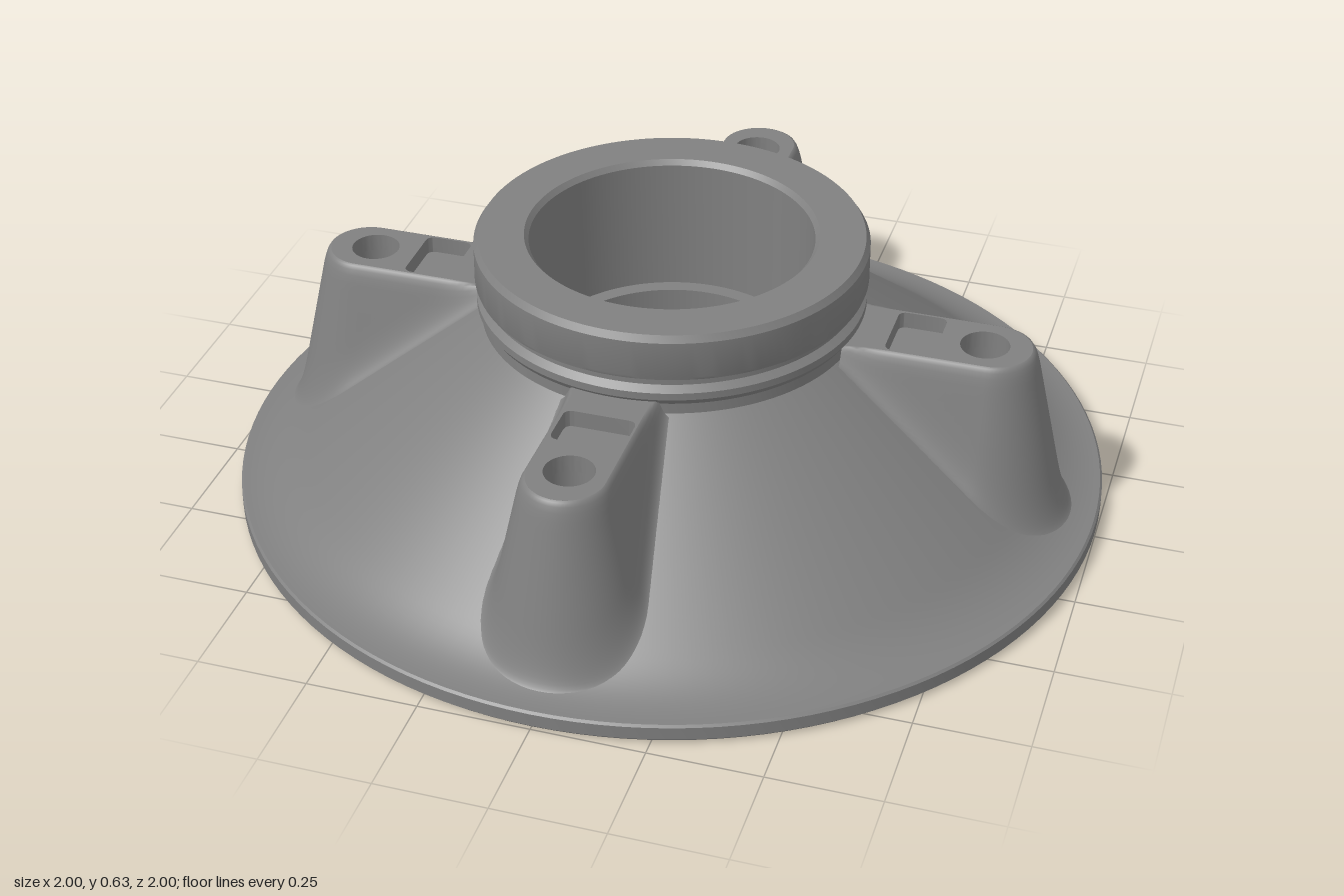
import * as THREE from 'three';
import { toCreasedNormals } from 'three/addons/utils/BufferGeometryUtils.js';

const HOLE_AT = 0.72, HOLE_R = 0.055;   // bolt holes
const TOP = 0.463, HALF = 0.085, END = 0.74, START = 0.42; // boss top outline
const POCKET_DEPTH = 0.04;

const smoothMax = (a, b, k) => {
  const h = Math.max(k - Math.abs(a - b), 0) / k;
  return Math.max(a, b) + h * h * k / 4;
};
// Height of the conical flange at radius r
const coneHeight = r => smoothMax(0.43 - 0.785 * (r - 0.43), 0.045, 0.06);

function circlePath(x, y, r) {
  return new THREE.Path().absarc(x, y, r, 0, Math.PI * 2, true);
}

// Turned body: rim, cone, neck, collar and stepped bore, opened up under the bosses
function bodyGeometry() {
  const pts = [[0.99, 0], [1, 0.01], [1, 0.04]];
  for (let i = 0; i <= 40; i++) {
    const r = 0.995 - (0.995 - 0.43) * i / 40;
    pts.push([r, coneHeight(r)]);
  }
  pts.push(
    [0.43, 0.455], [0.44, 0.47], [0.44, 0.487], [0.425, 0.5], [0.425, 0.515], [0.44, 0.522],
    [0.443, 0.53], [0.443, 0.615], [0.433, 0.63], [0.33, 0.63], [0.32, 0.618],
    [0.32, 0.3], [0.285, 0.3], [0.285, 0]);
  const geo = new THREE.LatheGeometry(pts.map(p => new THREE.Vector2(...p)), 128);
  const pos = geo.attributes.position, index = geo.index.array, kept = [];
  const nearHole = i => {
    const x = Math.abs(pos.getX(i)), z = Math.abs(pos.getZ(i));
    return Math.hypot(Math.max(x, z) - HOLE_AT, Math.min(x, z)) < 0.085;
  };
  for (let i = 0; i < index.length; i += 3) {
    const tri = [index[i], index[i + 1], index[i + 2]];
    if (!tri.some(nearHole)) kept.push(...tri);
  }
  geo.setIndex(kept);
  return toCreasedNormals(geo, 0.4);
}

// Flat underside with the bore and four bolt holes
function undersideGeometry() {
  const shape = new THREE.Shape().absarc(0, 0, 0.99, 0, Math.PI * 2, false);
  shape.holes.push(circlePath(0, 0, 0.285));
  for (let i = 0; i < 4; i++) {
    const a = i * Math.PI / 2;
    shape.holes.push(circlePath(HOLE_AT * Math.cos(a), HOLE_AT * Math.sin(a), HOLE_R));
  }
  return new THREE.ShapeGeometry(shape, 64).rotateX(Math.PI / 2);
}

// Rounded rectangle for the locating pocket
function pocketShape() {
  const x0 = 0.51, x1 = 0.62, w = 0.08, c = 0.02;
  const s = new THREE.Shape();
  s.moveTo(x0 + c, -w).lineTo(x1 - c, -w).quadraticCurveTo(x1, -w, x1, -w + c);
  s.lineTo(x1, w - c).quadraticCurveTo(x1, w, x1 - c, w);
  s.lineTo(x0 + c, w).quadraticCurveTo(x0, w, x0, w - c);
  s.lineTo(x0, -w + c).quadraticCurveTo(x0, -w, x0 + c, -w);
  return s;
}

// Flat boss top, thick enough to form the pocket walls
function bossTopGeometry(withPocket) {
  const s = new THREE.Shape();
  s.moveTo(START, -HALF).lineTo(END, -HALF);
  s.absarc(END, 0, HALF, -Math.PI / 2, Math.PI / 2, false);
  s.lineTo(START, HALF).lineTo(START, -HALF);
  s.holes.push(circlePath(HOLE_AT, 0, HOLE_R));
  if (withPocket) s.holes.push(pocketShape());
  const geo = new THREE.ExtrudeGeometry(s, { depth: POCKET_DEPTH, bevelEnabled: false, curveSegments: 32 });
  geo.rotateX(-Math.PI / 2).translate(0, TOP - POCKET_DEPTH, 0);
  return toCreasedNormals(geo, 0.5);
}

// Drafted boss wall: rings offset from the top outline, blended into the cone
function bossWallGeometry() {
  const outline = [], straight = 20, arc = 32, rings = 28, reach = 0.135;
  for (let i = 0; i < straight; i++) outline.push([START + (END - START) * i / straight, HALF, 0, 1]);
  for (let i = 0; i <= arc; i++) {
    const a = Math.PI / 2 - Math.PI * i / arc, c = Math.cos(a), s = Math.sin(a);
    outline.push([END + HALF * c, HALF * s, c, s]);
  }
  for (let i = straight - 1; i >= 0; i--) outline.push([START + (END - START) * i / straight, -HALF, 0, -1]);

  const positions = [], index = [], n = outline.length;
  for (let j = 0; j <= rings; j++) {
    const d = reach * j / rings;
    const drop = d < 0.02 ? 112.5 * d * d : 0.045 + 4.5 * (d - 0.02);
    for (const [x, z, nx, nz] of outline) {
      const px = x + nx * d, pz = z + nz * d;
      const y = smoothMax(TOP - drop, coneHeight(Math.hypot(px, pz)), 0.1);
      // the top ring stays level with the flat; the outer edge tucks under the cone
      positions.push(px, j === 0 ? TOP : Math.min(TOP, y) - 0.004 * j / rings, pz);
    }
  }
  for (let j = 0; j < rings; j++) {
    for (let i = 0; i < n - 1; i++) {
      const a = j * n + i, b = a + 1, c = a + n, e = c + 1;
      index.push(a, c, b, b, c, e);
    }
  }
  const geo = new THREE.BufferGeometry();
  geo.setAttribute('position', new THREE.Float32BufferAttribute(positions, 3));
  geo.setIndex(index);
  geo.computeVertexNormals();
  return geo;
}

export function createModel() {
  const model = new THREE.Group();
  model.name = 'flangedHub';
  const metal = new THREE.MeshStandardMaterial({ color: 0x808080, side: THREE.DoubleSide });
  metal.name = 'grey metal';
  const add = (parent, name, geo) => {
    const mesh = new THREE.Mesh(geo, metal);
    mesh.name = name;
    parent.add(mesh);
  };

  add(model, 'hubBody', bodyGeometry());
  add(model, 'underside', undersideGeometry());

  const wall = bossWallGeometry();
  const boreHeight = TOP - POCKET_DEPTH;
  const bore = new THREE.CylinderGeometry(HOLE_R, HOLE_R, boreHeight, 64, 1, true)
    .translate(HOLE_AT, boreHeight / 2, 0);
  const floor = new THREE.ShapeGeometry(pocketShape()).rotateX(-Math.PI / 2)
    .translate(0, TOP - POCKET_DEPTH + 0.001, 0);

  // Four bosses: left, back, right, front; the back one has no pocket
  ['left', 'back', 'right', 'front'].forEach((side, i) => {
    const boss = new THREE.Group();
    boss.name = side + 'Boss';
    boss.rotation.y = i * Math.PI / 2;
    const hasPocket = side !== 'back';
    add(boss, 'bossWall', wall);
    add(boss, 'bossTop', bossTopGeometry(hasPocket));
    add(boss, 'boltHole', bore);
    if (hasPocket) add(boss, 'pocketFloor', floor);
    model.add(boss);
  });
  return model;
}
